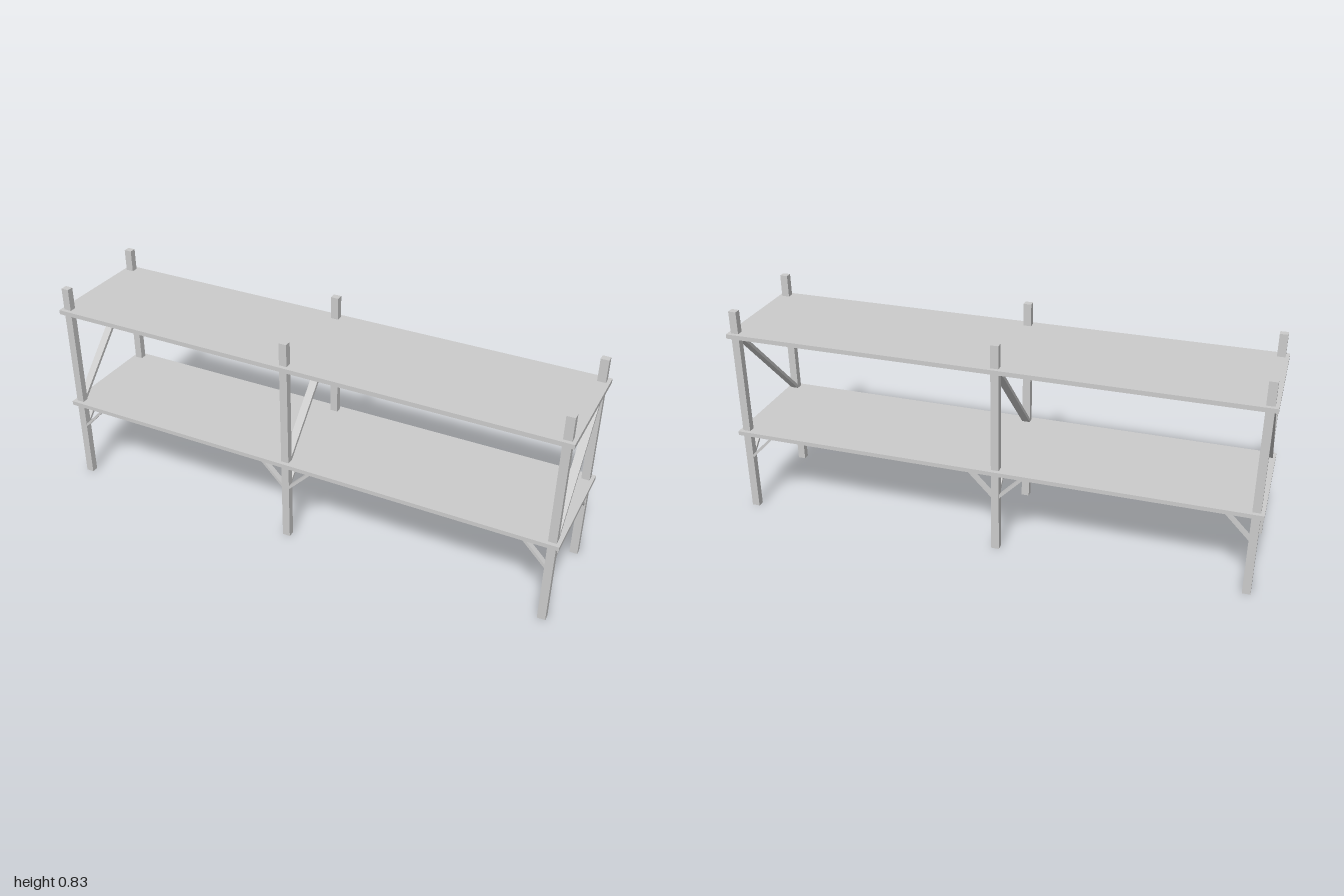
import * as THREE from 'three';

const material = new THREE.MeshStandardMaterial({ color: 0xcccccc });
const POST_X = [-0.972, -0.038, 0.972];
const POST_Z = [-0.2, 0.2];
const HEIGHT = 0.833;

export function createModel() {
  const model = new THREE.Group();

  function box(name, size, position) {
    const mesh = new THREE.Mesh(new THREE.BoxGeometry(...size), material);
    mesh.name = name;
    mesh.position.set(...position);
    model.add(mesh);
    return mesh;
  }

  // Flat bar between two points; its wide side lies across the plane it leans in
  function bar(name, from, to, width, thickness) {
    const a = new THREE.Vector3(...from);
    const b = new THREE.Vector3(...to);
    const along = b.clone().sub(a);
    const length = along.length();
    along.normalize();
    const across = new THREE.Vector3(0, 1, 0).cross(along).normalize();
    const mesh = box(name, [width, length, thickness], a.add(b).multiplyScalar(0.5).toArray());
    const normal = across.clone().cross(along);
    mesh.quaternion.setFromRotationMatrix(new THREE.Matrix4().makeBasis(across, along, normal));
  }

  // Two full-length shelves
  box('lowerShelf', [2, 0.016, 0.456], [0, 0.332, 0]);
  box('upperShelf', [2, 0.017, 0.455], [0, 0.738, 0]);

  POST_X.forEach((x, i) => {
    for (const z of POST_Z) {
      // Upright post
      box('post', [0.03, HEIGHT, 0.026], [x, HEIGHT / 2, z]);

      // Short strut from the post inward under the lower shelf
      const s = Math.sign(z);
      bar('depthStrut', [x, 0.226, s * 0.195], [x, 0.329, s * 0.087], 0.022, 0.01);

      // Struts along the length: both ways in the middle, inward at the ends
      const directions = i === 0 ? [1] : i === 1 ? [-1, 1] : [-1];
      for (const d of directions) {
        bar('lengthStrut', [x + d * 0.008, 0.222, z], [x + d * 0.112, 0.329, z], 0.022, 0.01);
      }
    }
    // Diagonal brace rising from front post to back post between the shelves
    bar('diagonalBrace', [x - (i === 0 ? 0.003 : 0), 0.339, 0.195],
      [x - (i === 0 ? 0.003 : 0), 0.737, -0.195], 0.03, 0.012);
  });

  return model;
}
